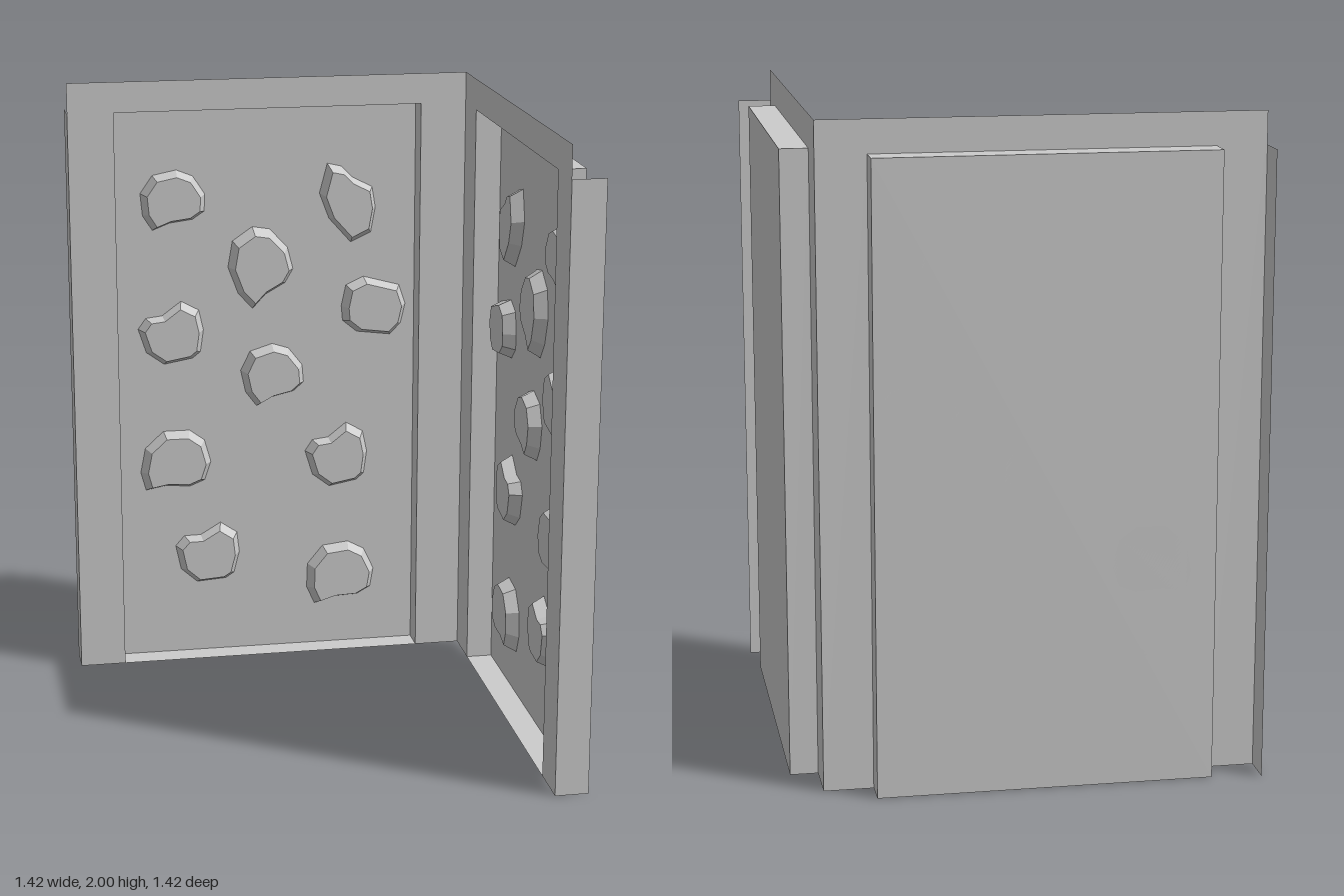
import * as THREE from 'three';

const material = new THREE.MeshStandardMaterial({ color: 0xcccccc, side: THREE.DoubleSide, flatShading: true });

// Wall measures: sheet plane, recess floor, outer edge, recess sides and top
const SHEET = -0.605, FLOOR = -0.69, EDGE = 0.71, X0 = -0.56, X1 = 0.455, TOP = 1.9;

// Hold outlines in a unit square, counter-clockwise
const outlines = {
  round: [[.07, 0], [.35, .06], [.7, .03], [.91, .13], [1, .44], [.91, .82], [.7, 1], [.33, 1], [.07, .72], [0, .31]],
  notched: [[.12, .2], [.39, 0], [.83, .08], [.95, .18], [1, .53], [.93, .85], [.66, 1], [.37, .78], [.12, .75], [0, .58]],
  blocky: [[.02, .29], [.24, .1], [.76, .03], [.93, .21], [1, .53], [.9, .84], [.34, 1], [.07, .87], [0, .53]],
  long: [[0, .63], [.17, .31], [.56, 0], [.92, .12], [1, .43], [.94, .69], [.58, .82], [.39, .96], [.14, 1]],
};

// Outline, turn in degrees, then left, right, bottom and top of each hold
const holds = [
  ['round', 14, -.47, -.255, 1.49, 1.69],
  ['long', 0, .13, .32, 1.425, 1.695],
  ['round', 32, -.18, .04, 1.21, 1.49],
  ['notched', 0, -.485, -.265, 1.03, 1.245],
  ['blocky', 0, .205, .425, 1.1, 1.305],
  ['round', 20, -.14, .075, .87, 1.085],
  ['round', 0, -.485, -.245, .59, .795],
  ['notched', 0, .08, .295, .57, .795],
  ['notched', -6, -.37, -.15, .25, .46],
  ['round', 8, .085, .32, .145, .365],
];

function addMesh(parent, name, geometry) {
  const mesh = new THREE.Mesh(geometry, material);
  mesh.name = name;
  parent.add(mesh);
  return mesh;
}

// Flat rectangle centred on (x, y, z), turned about x and y
function addPlane(parent, name, w, h, [x, y, z], rx = 0, ry = 0) {
  const mesh = addMesh(parent, name, new THREE.PlaneGeometry(w, h));
  mesh.position.set(x, y, z);
  mesh.rotation.set(rx, ry, 0);
}

// Faceted hold whose face is smaller than its foot
function holdGeometry([kind, turn, x0, x1, y0, y1]) {
  const origin = new THREE.Vector2(0.5, 0.5);
  const points = outlines[kind].map(([u, v]) =>
    new THREE.Vector2(u, v).rotateAround(origin, THREE.MathUtils.degToRad(turn)));
  const box = new THREE.Box2().setFromPoints(points);
  const size = box.getSize(new THREE.Vector2());
  points.forEach((p) => p.sub(box.min).divide(size).subScalar(0.5)
    .multiply(new THREE.Vector2(x1 - x0, y1 - y0)));
  const geometry = new THREE.ExtrudeGeometry(new THREE.Shape(points), { depth: 0.04, bevelEnabled: false });
  const pos = geometry.attributes.position;
  for (let i = 0; i < pos.count; i++) {
    if (pos.getZ(i) > 0) pos.setXY(i, pos.getX(i) * 0.82, pos.getY(i) * 0.82);
  }
  geometry.computeVertexNormals();
  return geometry.translate((x0 + x1) / 2, (y0 + y1) / 2, FLOOR);
}

function createWall(name) {
  const wall = new THREE.Group();
  wall.name = name;

  // Thin border around the top and sides of the recess
  const border = new THREE.Shape([
    [-EDGE, 0], [X0, 0], [X0, TOP], [X1, TOP], [X1, 0], [-SHEET, 0], [-SHEET, 2], [-EDGE, 2],
  ].map(([x, y]) => new THREE.Vector2(x, y)));
  addMesh(wall, 'border', new THREE.ShapeGeometry(border).translate(0, 0, SHEET));

  // Recessed panel and its four walls
  const w = X1 - X0, d = SHEET - FLOOR, cx = (X0 + X1) / 2, cz = (SHEET + FLOOR) / 2;
  addPlane(wall, 'recessPanel', w, TOP, [cx, TOP / 2, FLOOR]);
  addPlane(wall, 'recessOuterSide', d, TOP, [X0, TOP / 2, cz], 0, Math.PI / 2);
  addPlane(wall, 'recessInnerSide', d, TOP, [X1, TOP / 2, cz], 0, -Math.PI / 2);
  addPlane(wall, 'recessTop', w, d, [cx, TOP, cz], Math.PI / 2);
  addPlane(wall, 'recessBottom', w, d, [cx, 0, cz], -Math.PI / 2);

  // Flange folded back along the free edge
  addPlane(wall, 'flange', EDGE + SHEET, TOP, [-EDGE, TOP / 2, (SHEET - EDGE) / 2], 0, -Math.PI / 2);

  holds.forEach((hold, i) => addMesh(wall, `climbingHold${i + 1}`, holdGeometry(hold)));
  return wall;
}

export function createModel() {
  const model = new THREE.Group();
  model.name = 'climbingWallCorner';
  model.add(createWall('backWall'));

  // Side wall is the back wall mirrored across the corner
  const side = createWall('sideWall');
  side.scale.x = -1;
  side.rotation.y = -Math.PI / 2;
  model.add(side);
  return model;
}
